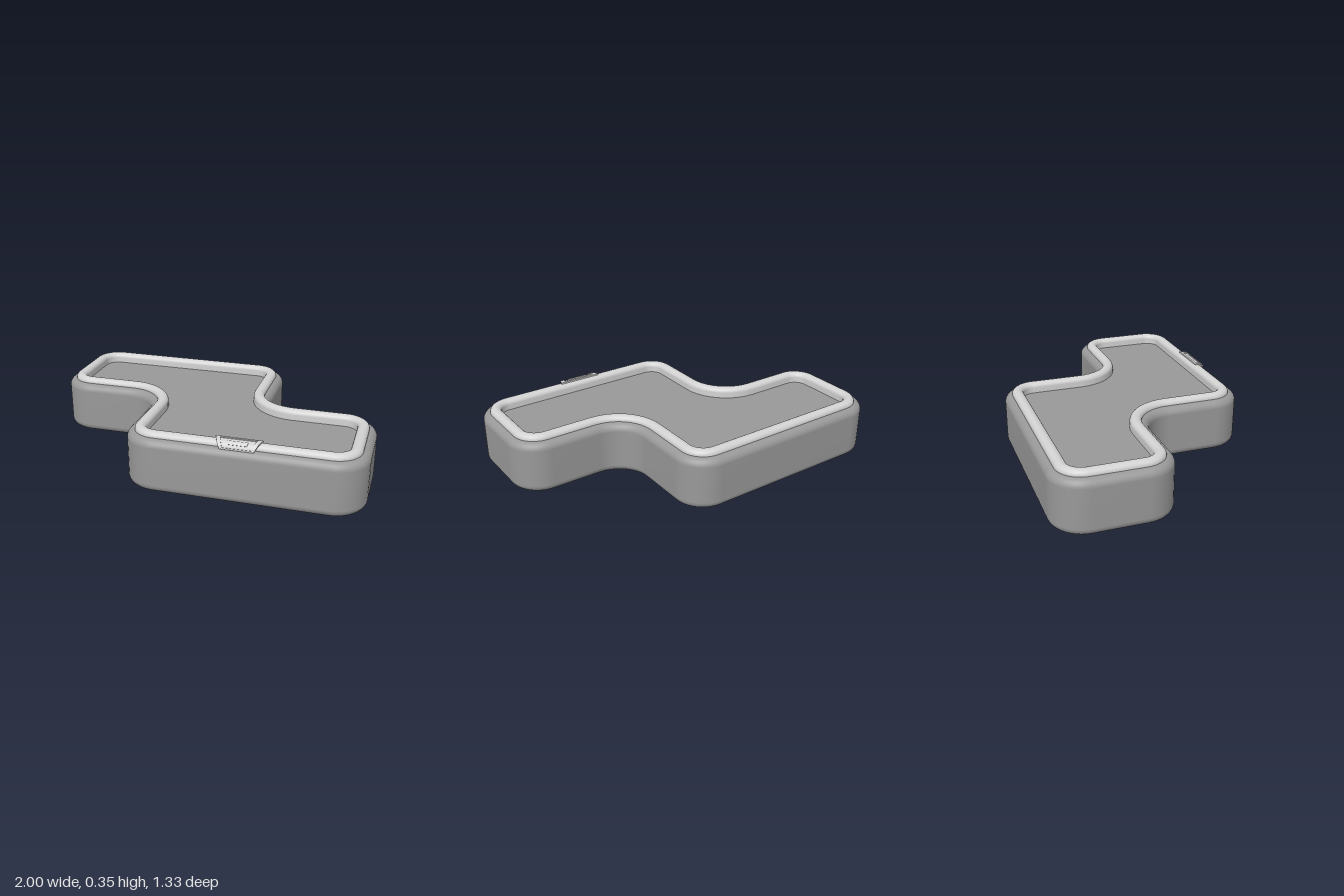
import * as THREE from 'three';

const R = 0.185; // plan radius of every corner
const STEPS = 10; // segments per corner
const T = 2 / 3;
const CORNERS = [
  [-1, -T], [T / 2, -T], [T / 2, 0], [1, 0],
  [1, T], [-T / 2, T], [-T / 2, 0], [-1, 0],
].map(([x, z]) => new THREE.Vector2(x, z));

// Rounded stepped outline in x/z, moved inwards by inset
function outline(inset) {
  const points = [];
  const n = CORNERS.length;
  CORNERS.forEach((p, i) => {
    const d1 = p.clone().sub(CORNERS[(i + n - 1) % n]).normalize();
    const d2 = CORNERS[(i + 1) % n].clone().sub(p).normalize();
    const radius = d1.cross(d2) > 0 ? R - inset : R + inset;
    const centre = p.clone().addScaledVector(d1, -R).addScaledVector(d2, R);
    for (let k = 0; k <= STEPS; k++) {
      const a = (k / STEPS) * Math.PI / 2;
      points.push(centre.clone()
        .addScaledVector(d2, -radius * Math.cos(a))
        .addScaledVector(d1, radius * Math.sin(a)));
    }
  });
  return points;
}

// Band swept round the outline from a profile of [inset, height]
function sweep(profile) {
  const pos = [], index = [];
  const n = CORNERS.length * (STEPS + 1);
  profile.forEach(([inset, y], j) => {
    outline(inset).forEach((p, i) => {
      pos.push(p.x, y, p.y);
      if (j === profile.length - 1) return;
      const a = j * n + i, b = j * n + (i + 1) % n;
      index.push(a, a + n, b, b, a + n, b + n);
    });
  });
  const g = new THREE.BufferGeometry();
  g.setAttribute('position', new THREE.Float32BufferAttribute(pos, 3));
  g.setIndex(index);
  g.computeVertexNormals();
  return g;
}

// Quarter arc of profile points between two angles
function arc(cx, cy, rx, ry, from, to, steps = 6) {
  return Array.from({ length: steps + 1 }, (_, k) => {
    const a = (from + (to - from) * k / steps) * Math.PI / 180;
    return [cx - rx * Math.cos(a), cy + ry * Math.sin(a)];
  });
}

// Flat panel filling the outline, facing up or down
function panel(inset, y, up) {
  const s = up ? -1 : 1;
  const shape = new THREE.Shape(outline(inset).map((p) => new THREE.Vector2(p.x, s * p.y)));
  return new THREE.ShapeGeometry(shape).rotateX(s * Math.PI / 2).translate(0, y, 0);
}

// Curve of the latch in z/y, from the top of the rim down its front
const latchCurve = new THREE.SplineCurve([
  [0.578, 0.343], [0.605, 0.343], [0.626, 0.335], [0.637, 0.32], [0.64, 0.306],
].map(([z, y]) => new THREE.Vector2(z, y)));

// Box bent along the latch curve and tapered towards the front
function latchPiece(u0, u1, t0, t1, thickness) {
  const g = new THREE.BoxGeometry(1, 1, 1, 1, 10, 1);
  const pos = g.attributes.position;
  for (let i = 0; i < pos.count; i++) {
    const u = THREE.MathUtils.lerp(u0, u1, pos.getX(i) + 0.5);
    const t = THREE.MathUtils.lerp(t1, t0, pos.getY(i) + 0.5);
    const w = (pos.getZ(i) + 0.5) * thickness;
    const p = latchCurve.getPoint(t), d = latchCurve.getTangent(t);
    pos.setXYZ(i, 0.325 + u * (0.13 - 0.04 * t), p.y + d.x * w, p.x - d.y * w);
  }
  g.computeVertexNormals();
  return g;
}

export function createModel() {
  const model = new THREE.Group();
  const grey = new THREE.MeshStandardMaterial({ color: 0x999999 });
  grey.name = 'mid grey';
  const pale = new THREE.MeshStandardMaterial({ color: 0xd2d2d2 });
  pale.name = 'pale grey';
  const add = (name, geometry, material, parent = model) => {
    const mesh = new THREE.Mesh(geometry, material);
    mesh.name = name;
    parent.add(mesh);
  };

  // Body with rounded foot and shoulder
  add('body', sweep([
    [0.1, 0.03],
    ...arc(0.062, 0.03, 0.038, 0.03, -180, -90),
    ...arc(0.045, 0.045, 0.045, 0.045, -90, 0),
    ...arc(0.045, 0.265, 0.045, 0.045, 0, 90),
    [0.06, 0.31],
  ]), grey);
  add('base', panel(0.1, 0.03, false), grey);
  add('trayFloor', panel(0.105, 0.28, true), grey);

  // Raised rim around the tray
  add('rim', sweep([
    [0.043, 0.305],
    ...arc(0.076, 0.313, 0.033, 0.028, 0, 180, 12),
    [0.109, 0.28],
  ]), pale);

  // Curved latch with a raised border
  const latch = new THREE.Group();
  latch.name = 'latch';
  model.add(latch);
  add('latchPlate', latchPiece(-0.95, 0.95, 0.02, 0.98, 0.004), pale, latch);
  for (const s of [-1, 1]) {
    add('latchSide', latchPiece(s < 0 ? -1 : 0.8, s < 0 ? -0.8 : 1, 0, 1, 0.009), pale, latch);
  }
  add('latchBackEdge', latchPiece(-0.8, 0.8, 0, 0.14, 0.009), pale, latch);
  add('latchFrontEdge', latchPiece(-0.8, 0.8, 0.84, 1, 0.009), pale, latch);
  add('latchGrip', latchPiece(-0.5, 0.5, 0.35, 0.6, 0.008), pale, latch);
  return model;
}
